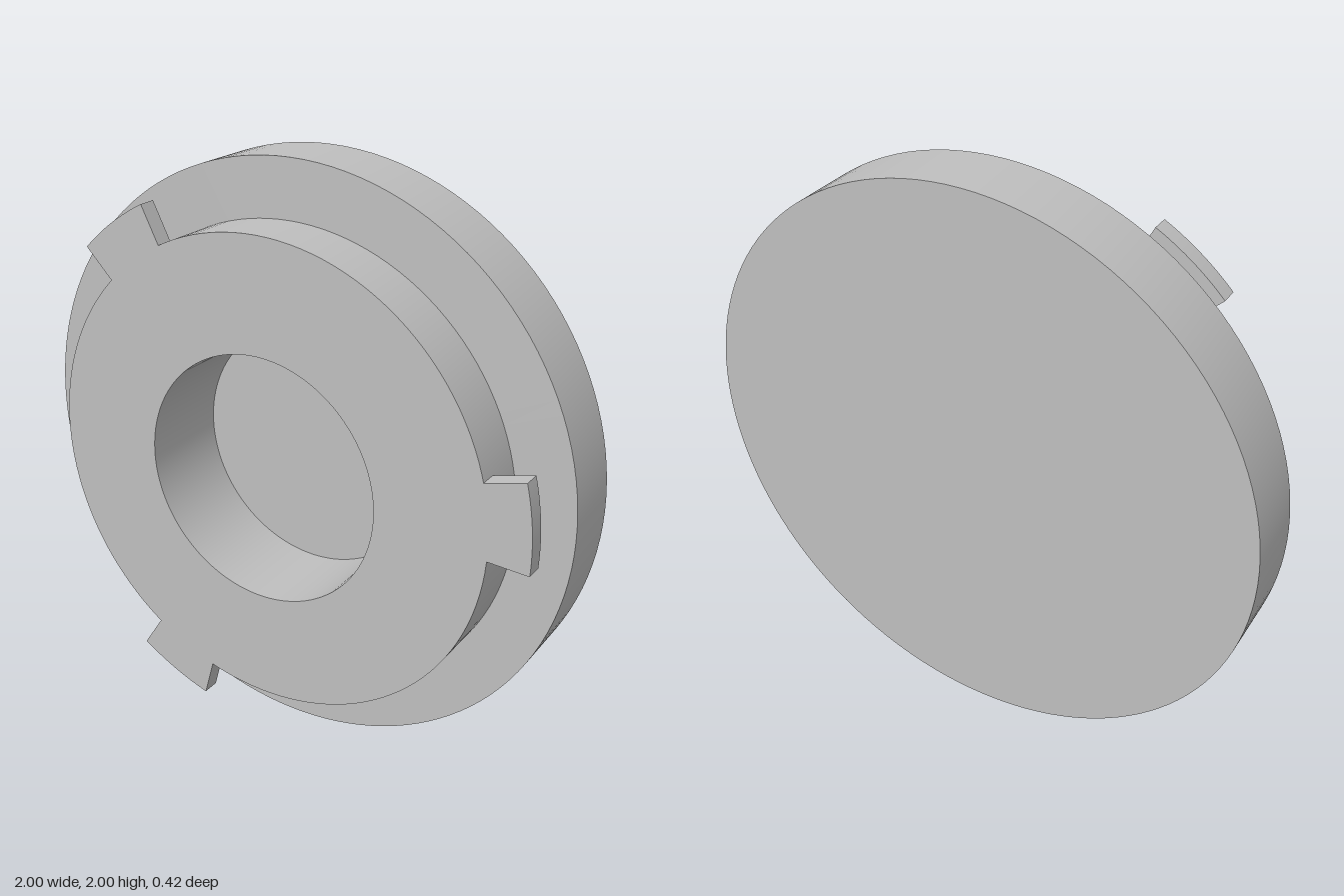
import * as THREE from 'three';
import { toCreasedNormals } from 'three/addons/utils/BufferGeometryUtils.js';

export function createModel() {
  const group = new THREE.Group();
  group.name = 'bayonetCap';
  const grey = new THREE.MeshStandardMaterial({ color: 0xbfbfbf });
  grey.name = 'plain grey';

  const add = (name, geometry) => {
    const mesh = new THREE.Mesh(toCreasedNormals(geometry, 0.5), grey);
    mesh.name = name;
    mesh.position.y = 1;
    group.add(mesh);
  };

  const back = -0.21, step = 0.02, front = 0.21, floor = -0.12;
  const bossRadius = 0.807, holeRadius = 0.425, tabRadius = 0.943;

  // Flange, boss and blind hole turned as one solid
  const profile = [
    [0, back], [1, back], [1, step], [bossRadius, step],
    [bossRadius, front], [holeRadius, front], [holeRadius, floor], [0, floor],
  ].map(([r, z]) => new THREE.Vector2(r, z));
  add('flangedBody', new THREE.LatheGeometry(profile, 128).rotateX(Math.PI / 2));

  // Three locking tabs around the front rim of the boss
  const tabDepth = 0.06;
  for (let i = 0; i < 3; i++) {
    const start = THREE.MathUtils.degToRad(-2.8 + i * 120);
    const end = THREE.MathUtils.degToRad(15 + i * 120);
    const shape = new THREE.Shape();
    shape.absarc(0, 0, tabRadius, start, end, false);
    shape.absarc(0, 0, bossRadius - 0.002, end, start, true);
    shape.closePath();
    const tab = new THREE.ExtrudeGeometry(shape, { depth: tabDepth, bevelEnabled: false, curveSegments: 10 });
    add('lockingTab' + (i + 1), tab.translate(0, 0, front - tabDepth));
  }
  return group;
}
